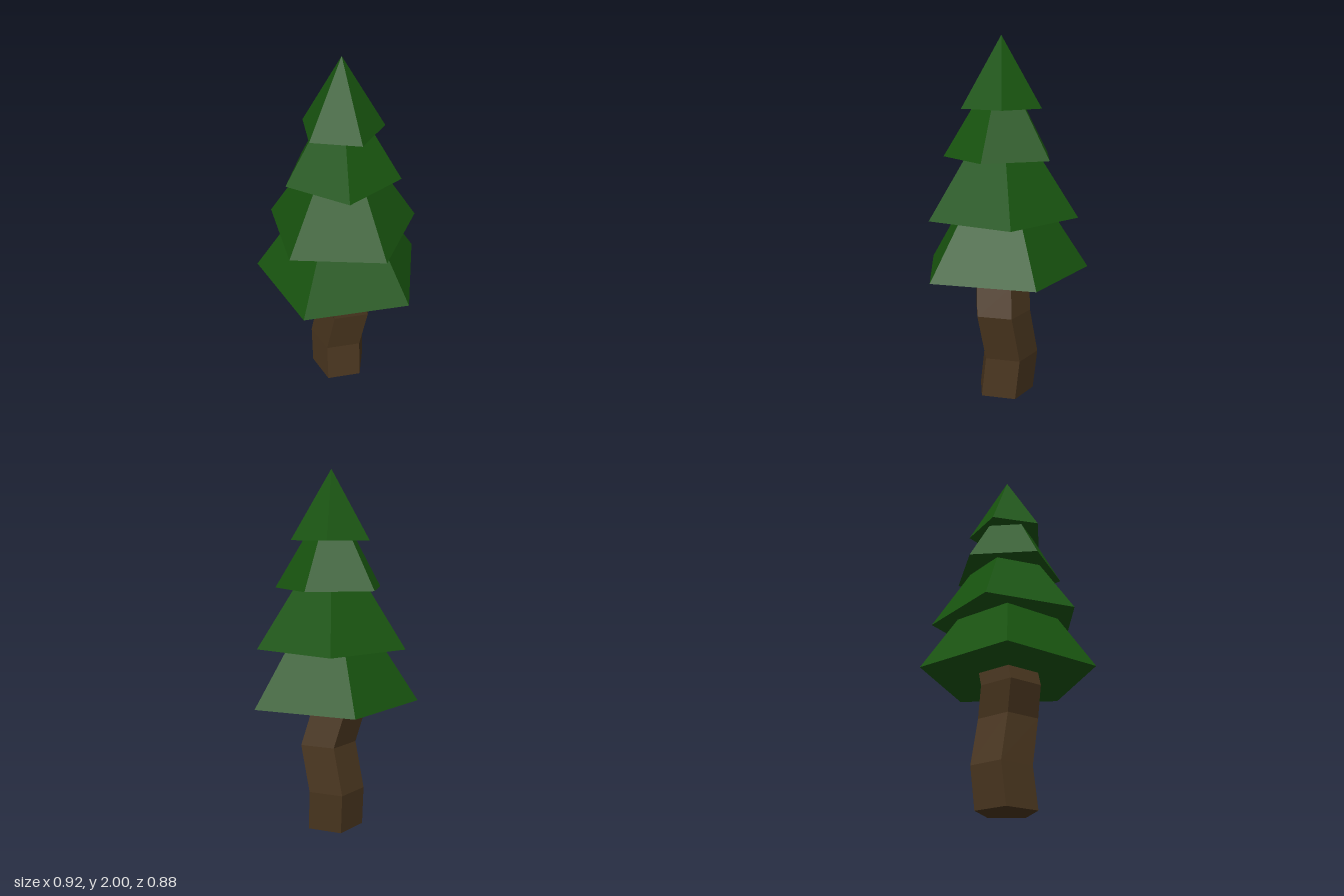
import * as THREE from 'three';

const SIDES = 5;
const leafMat = new THREE.MeshStandardMaterial({ color: 0x18540f, flatShading: true });
const barkMat = new THREE.MeshStandardMaterial({ color: 0x4a361f, flatShading: true });

// Trunk rings from the ground up: centre x, height, centre z
const RINGS = [
  [-0.008, 0, 0.031],
  [-0.008, 0.225, 0.006],
  [0.028, 0.487, 0.053],
  [-0.025, 0.655, 0.053],
  [0.004, 0.8, 0.037],
];

// Foliage tiers: base height, radius, cone height, twist in degrees
const TIERS = [
  [0.73, 0.485, 0.748, 0],
  [1.035, 0.424, 0.655, 15],
  [1.358, 0.316, 0.52, 40.6],
  [1.62, 0.225, 0.38, 20.8],
];

// Five-sided column whose rings are shifted to make a crooked trunk
function makeTrunk() {
  const rows = RINGS.length - 1;
  const geo = new THREE.CylinderGeometry(0.166, 0.166, 1, SIDES, rows, false, Math.PI);
  const pos = geo.attributes.position;
  for (let i = 0; i < pos.count; i++) {
    const [cx, y, cz] = RINGS[Math.round((pos.getY(i) + 0.5) * rows)];
    pos.setXYZ(i, pos.getX(i) + cx, y, pos.getZ(i) + cz);
  }
  geo.computeVertexNormals();
  const trunk = new THREE.Mesh(geo, barkMat);
  trunk.name = 'trunk';
  return trunk;
}

// Closed five-sided cone standing on its base height
function makeTier([base, radius, height, twist], i) {
  const start = Math.PI - THREE.MathUtils.degToRad(twist);
  const tier = new THREE.Mesh(
    new THREE.ConeGeometry(radius, height, SIDES, 1, false, start), leafMat);
  tier.position.set(0, base + height / 2, 0.045);
  tier.name = `foliageTier${i + 1}`;
  return tier;
}

export function createModel() {
  const tree = new THREE.Group();
  tree.name = 'pineTree';
  const foliage = new THREE.Group();
  foliage.name = 'foliage';
  foliage.add(...TIERS.map(makeTier));
  tree.add(makeTrunk(), foliage);
  return tree;
}
